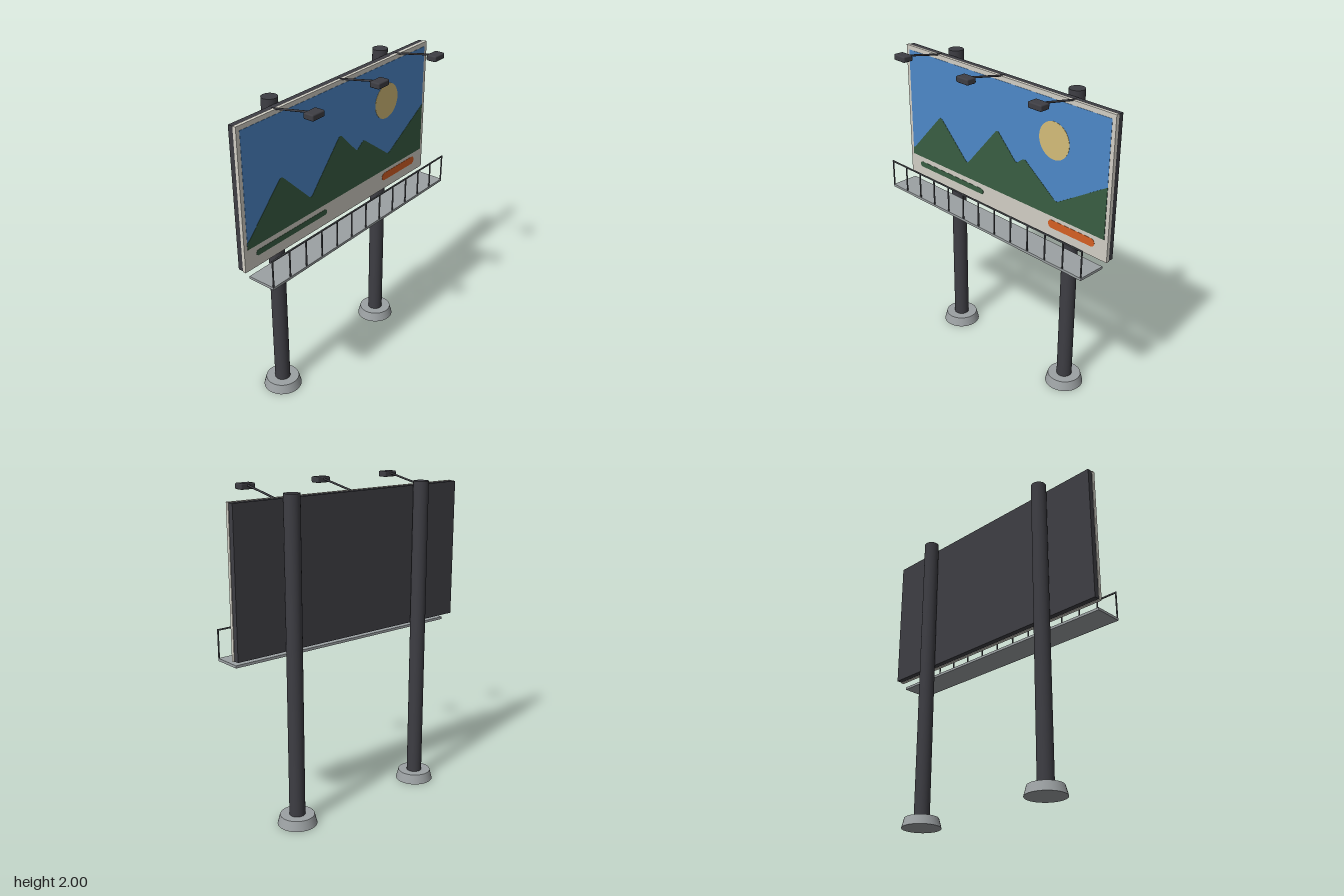
import * as THREE from 'three';
import { RoundedBoxGeometry } from 'three/addons/geometries/RoundedBoxGeometry.js';

const material = (name, color) => {
  const m = new THREE.MeshStandardMaterial({ color });
  m.name = name;
  return m;
};

export function createModel() {
  const model = new THREE.Group();
  model.name = 'billboard';

  const dark = material('dark steel', 0x3e3e44);
  const grey = material('pale grey', 0x9ca1a3);
  const railGrey = material('rail grey', 0x55585c);
  const cream = material('cream frame', 0xd2cfc5);
  const blue = material('sky blue', 0x4d88c9);
  const green = material('mountain green', 0x395e43);
  const yellow = material('sun yellow', 0xd4bd79);
  const orange = material('orange', 0xd66024);

  const add = (name, geometry, mat, x = 0, y = 0, z = 0, parent = model) => {
    const mesh = new THREE.Mesh(geometry, mat);
    mesh.name = name;
    mesh.position.set(x, y, z);
    parent.add(mesh);
    return mesh;
  };
  const box = (w, h, d) => new THREE.BoxGeometry(w, h, d);

  // Two posts on tapered footings
  for (const x of [-0.49, 0.49]) {
    add('footing', new THREE.CylinderGeometry(0.104, 0.12, 0.06, 32), grey, x, 0.03, -0.138);
    add('post', new THREE.CylinderGeometry(0.047, 0.048, 1.91, 32), dark, x, 1.015, -0.138);
  }

  // Panel: dark back box and cream face
  const midY = 1.506;
  add('panelBack', box(1.684, 0.868, 0.036), dark, 0, midY, -0.075);
  add('panelFace', box(1.69, 0.874, 0.021), cream, 0, midY, -0.0475);

  // Painted picture, in thin stacked plates
  const faceZ = -0.037;
  const plate = (name, shape, mat, layer) =>
    add(name, new THREE.ExtrudeGeometry(shape, { depth: 0.0015 * layer, bevelEnabled: false, curveSegments: 24 }),
      mat, 0, 0, faceZ);
  const polygon = (points) => new THREE.Shape(points.map(([x, y]) => new THREE.Vector2(x, y)));
  const pill = (x0, x1, y, r) => {
    const s = new THREE.Shape();
    s.absarc(x1 - r, y, r, -Math.PI / 2, Math.PI / 2);
    s.absarc(x0 + r, y, r, Math.PI / 2, Math.PI * 1.5);
    return s;
  };
  plate('sky', polygon([[-0.82, 1.206], [0.82, 1.206], [0.82, 1.915], [-0.82, 1.915]]), blue, 1);
  plate('mountains', polygon([
    [-0.82, 1.206], [0.82, 1.206], [0.82, 1.525], [0.475, 1.315], [0.46, 1.31], [0.445, 1.315],
    [0.215, 1.485], [0.2, 1.49], [0.185, 1.483], [0.145, 1.452], [0.13, 1.452], [-0.01, 1.595],
    [-0.022, 1.6], [-0.034, 1.595], [-0.28, 1.315], [-0.292, 1.31], [-0.305, 1.317],
    [-0.52, 1.53], [-0.533, 1.535], [-0.546, 1.53], [-0.8, 1.262], [-0.82, 1.25],
  ]), green, 2);
  const disc = new THREE.Shape();
  disc.absarc(0.428, 1.674, 0.113, 0, Math.PI * 2);
  plate('sun', disc, yellow, 2);
  plate('greenStripe', pill(-0.754, -0.148, 1.153, 0.018), green, 1);
  plate('orangeButton', pill(0.402, 0.752, 1.154, 0.026), orange, 1);

  // Walkway with its front railing
  add('walkway', box(1.64, 0.016, 0.182), grey, 0, 1.029, 0.055);
  const railing = new THREE.Group();
  railing.name = 'railing';
  model.add(railing);
  const railZ = 0.143;
  for (let i = 0; i <= 12; i++) {
    add('railPost', box(0.007, 0.17, 0.007), railGrey, -0.816 + i * 0.136, 1.12, railZ, railing);
  }
  add('topRail', box(1.64, 0.008, 0.008), railGrey, 0, 1.204, railZ, railing);

  // Three lamps on arms that lean out over the top edge
  for (const x of [-0.547, 0, 0.547]) {
    const lamp = new THREE.Group();
    lamp.name = 'lamp';
    model.add(lamp);
    const path = new THREE.LineCurve3(new THREE.Vector3(x, 1.938, -0.065), new THREE.Vector3(x, 1.989, 0.205));
    add('lampArm', new THREE.TubeGeometry(path, 1, 0.006, 10), dark, 0, 0, 0, lamp);
    add('lampHead', new RoundedBoxGeometry(0.096, 0.036, 0.066, 2, 0.008), dark, x, 1.982, 0.225, lamp);
  }

  return model;
}
